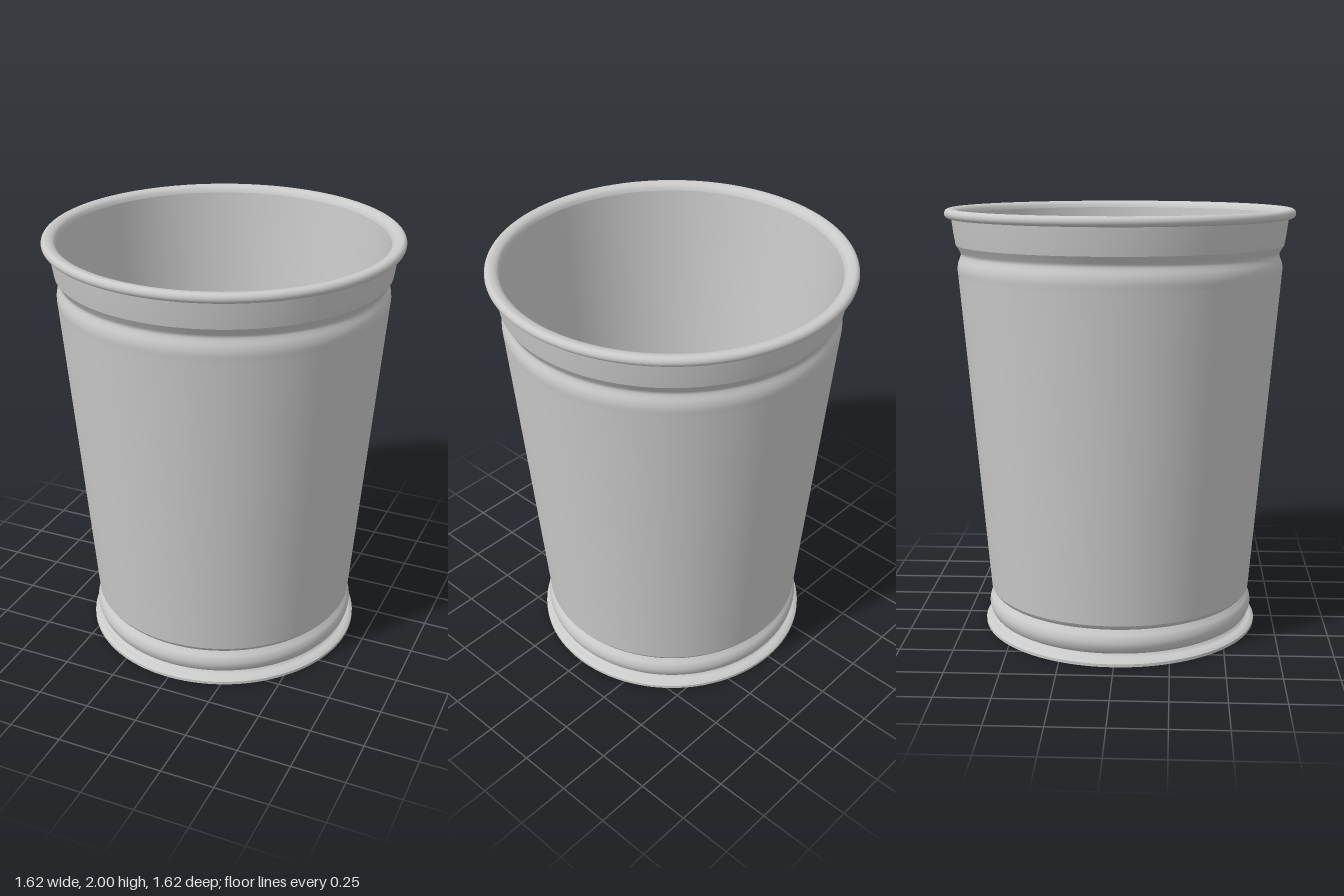
import * as THREE from 'three';

const SEGMENTS = 96;

export function createModel() {
  const group = new THREE.Group();
  const metal = new THREE.MeshStandardMaterial({ color: 0xcacaca });
  metal.name = 'silver grey';

  // Each section is its own lathe, so the joins between sections stay crisp.
  function turned(name, points, smooth = false) {
    let profile = points.map(([r, y]) => new THREE.Vector2(r, y));
    if (smooth) profile = new THREE.SplineCurve(profile).getPoints(points.length * 4);
    const mesh = new THREE.Mesh(new THREE.LatheGeometry(profile, SEGMENTS), metal);
    mesh.name = name;
    group.add(mesh);
  }

  // Base disc and flared foot
  turned('underside', [[0, 0], [0.66, 0]]);
  turned('footEdge', [[0.66, 0], [0.66, 0.014]]);
  turned('foot', [[0.66, 0.014], [0.645, 0.024], [0.622, 0.031], [0.61, 0.044]], true);

  // Rounded bead above the foot
  turned('lowerBead', [[0.61, 0.044], [0.625, 0.055], [0.637, 0.078], [0.641, 0.102],
    [0.635, 0.128], [0.622, 0.148], [0.614, 0.16]], true);
  turned('lowerGroove', [[0.614, 0.16], [0.621, 0.168], [0.63, 0.182]], true);

  // Tapered wall, shoulder and flared collar
  turned('wall', [[0.63, 0.182], [0.754, 1.69]]);
  turned('shoulder', [[0.754, 1.69], [0.757, 1.725], [0.753, 1.753], [0.742, 1.782],
    [0.741, 1.797], [0.75, 1.814], [0.763, 1.835]], true);
  turned('collar', [[0.763, 1.835], [0.772, 1.89], [0.78, 1.956]]);

  // Rolled rim
  const rim = [[0.78, 1.956]];
  for (let i = 0; i <= 16; i++) {
    const a = -Math.PI / 2 + (i / 16) * Math.PI;
    rim.push([0.79 + 0.022 * Math.cos(a), 1.978 + 0.022 * Math.sin(a)]);
  }
  rim.push([0.775, 1.999], [0.76, 1.993], [0.75, 1.983], [0.745, 1.968]);
  turned('rim', rim);

  // Inside wall, rounded corner and floor
  turned('insideWall', [[0.745, 1.968], [0.603, 0.2]]);
  turned('insideCorner', [[0.603, 0.2], [0.596, 0.16], [0.578, 0.125], [0.548, 0.105]], true);
  turned('floor', [[0.548, 0.105], [0, 0.105]]);

  return group;
}
